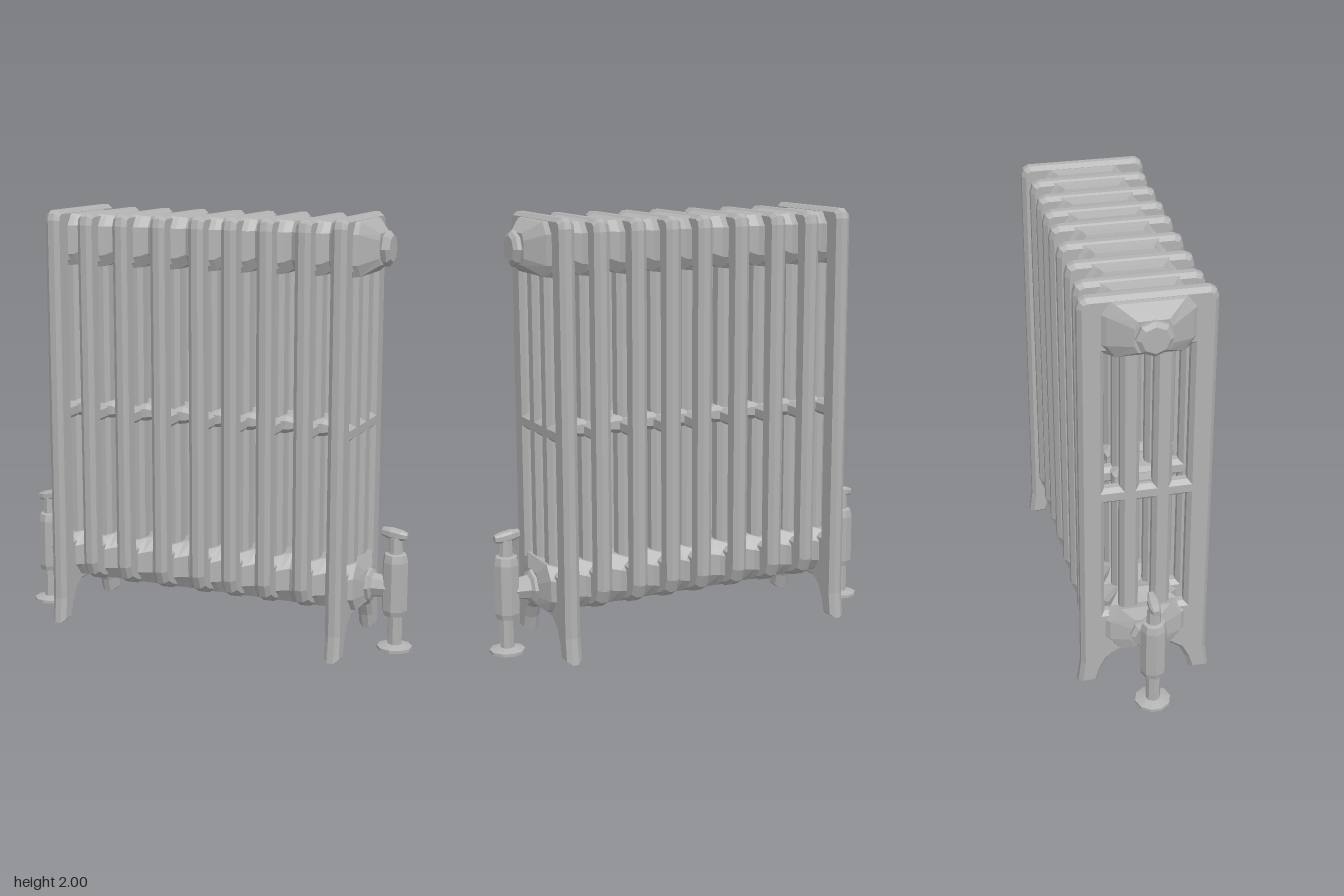
import * as THREE from 'three';

const iron = new THREE.MeshStandardMaterial({ color: 0xb2b2b2, flatShading: true });
iron.name = 'castIron';

const sectionX = [-0.7, -0.54, -0.36, -0.17, 0.02, 0.18, 0.35, 0.53, 0.7];

function part(parent, name, geometry, x = 0, y = 0, z = 0) {
  const mesh = new THREE.Mesh(geometry, iron);
  mesh.name = name;
  mesh.position.set(x, y, z);
  parent.add(mesh);
  return mesh;
}

// Chamfered-rectangle cross-sections joined along x; station = [x, halfWidth, bottom, top]
function loft(stations, chamferZ, chamferY) {
  const rings = stations.map(([x, w, y0, y1]) => {
    const a = w * (1 - chamferZ), c = (y1 - y0) * chamferY;
    return [[a, y1], [w, y1 - c], [w, y0 + c], [a, y0], [-a, y0], [-w, y0 + c], [-w, y1 - c], [-a, y1]]
      .map(([z, y]) => [x, y, z]);
  });
  const n = 8, pos = rings.flat(2), index = [];
  for (let i = 0; i < rings.length - 1; i++) {
    for (let j = 0; j < n; j++) {
      const a = i * n + j, b = i * n + (j + 1) % n;
      index.push(a, b, a + n, b, b + n, a + n);
    }
  }
  const last = (rings.length - 1) * n;
  for (let j = 1; j < n - 1; j++) {
    index.push(0, j + 1, j, last, last + j, last + j + 1);
  }
  const g = new THREE.BufferGeometry();
  g.setAttribute('position', new THREE.Float32BufferAttribute(pos, 3));
  g.setIndex(index);
  g.computeVertexNormals();
  return g;
}

// Stations swelling at every section and narrowing in the gaps
function scalloped(valley, shoulder, crest) {
  const out = [];
  sectionX.forEach((x, i) => {
    out.push([x - 0.055, ...shoulder], [x, ...crest], [x + 0.055, ...shoulder]);
    if (i < sectionX.length - 1) out.push([(x + sectionX[i + 1]) / 2, ...valley]);
  });
  return out;
}

// Upright section with slots between its four columns
function sectionGeometry(isEnd) {
  const half = isEnd
    ? [[0.12, 0.165], [0.17, 0.13], [0.2, 0.07], [0.22, 0], [0.31, 0], [0.295, 0.12],
      [0.295, 1.95], [0.285, 1.98], [0.26, 1.995]]
    : [[0.14, 0.2], [0.2, 0.22], [0.25, 0.25], [0.275, 0.31], [0.28, 1.93], [0.27, 1.97], [0.24, 1.985]];
  const outline = [...half, ...half.map(([z, y]) => [-z, y]).reverse()];
  const shape = new THREE.Shape(outline.map(([z, y]) => new THREE.Vector2(z, y)));
  for (const [z, w] of [[-0.15, 0.035], [0, 0.03], [0.15, 0.035]]) {
    for (const [y0, y1] of [[0.4, 0.995], [1.07, 1.74]]) {
      const hole = [[z - w, y0], [z - w, y1], [z + w, y1], [z + w, y0]];
      shape.holes.push(new THREE.Path(hole.map(([a, b]) => new THREE.Vector2(a, b))));
    }
  }
  const depth = 0.03, bevel = 0.021;
  const g = new THREE.ExtrudeGeometry(shape, {
    depth, bevelEnabled: true, bevelThickness: bevel, bevelSize: 0.018, bevelOffset: -0.018, bevelSegments: 1,
  });
  return g.translate(0, 0, -depth / 2).rotateY(Math.PI / 2);
}

// Turned part with few sides
function turned(points, sides) {
  return new THREE.LatheGeometry(points.map(([r, y]) => new THREE.Vector2(r, y)), sides);
}

// Plug, pipe connection and valve for the +x end
function endFittings() {
  const group = new THREE.Group();
  const plug = turned([[0, 0], [0.065, 0], [0.08, 0.012], [0.08, 0.03], [0.06, 0.045], [0, 0.045]], 8);
  part(group, 'topPlug', plug.rotateZ(-Math.PI / 2), 0.815, 1.85, 0);

  const union = turned([[0, 0], [0.08, 0], [0.08, 0.04], [0.058, 0.05], [0.052, 0.1], [0.045, 0.14], [0, 0.14]], 8);
  part(group, 'pipeUnion', union.rotateZ(-Math.PI / 2), 0.755, 0.295, 0);

  part(group, 'valveBody', turned([[0, 0.165], [0.053, 0.165], [0.06, 0.19], [0.06, 0.42], [0.052, 0.455],
    [0.034, 0.46], [0.03, 0.535], [0, 0.535]], 8), 0.905, 0, 0);
  part(group, 'supplyPipe', turned([[0.034, 0.015], [0.034, 0.17]], 8), 0.91, 0, 0);
  part(group, 'floorCollar', turned([[0, 0], [0.082, 0], [0.082, 0.014], [0.04, 0.026], [0, 0.026]], 10), 0.91, 0, 0);
  const handle = part(group, 'valveHandle', loft([[-0.06, 0.015, -0.015, 0.022], [-0.02, 0.025, -0.022, 0.026],
    [0.03, 0.025, -0.022, 0.022], [0.06, 0.015, -0.015, 0.015]], 0.35, 0.25), 0.9, 0.548, 0);
  handle.rotation.z = -0.1;
  return group;
}

export function createModel() {
  const model = new THREE.Group();
  model.name = 'radiator';

  // Upright sections; the two ends carry the feet
  const middle = sectionGeometry(false), end = sectionGeometry(true);
  sectionX.forEach((x, i) => {
    const isEnd = i === 0 || i === sectionX.length - 1;
    part(model, isEnd ? 'endSection' : 'middleSection', isEnd ? end : middle, x);
  });

  // Top header with tapered ends
  const top = scalloped([0.16, 1.755, 1.968], [0.18, 1.735, 1.972], [0.235, 1.73, 1.982]);
  part(model, 'topHeader', loft([[-0.82, 0.08, 1.78, 1.92], ...top, [0.82, 0.08, 1.78, 1.92]], 0.2, 0.22));

  // Bottom header
  const bottom = scalloped([0.145, 0.195, 0.435], [0.165, 0.2, 0.425], [0.22, 0.21, 0.41]);
  part(model, 'bottomHeader', loft([[-0.78, 0.075, 0.22, 0.37], ...bottom, [0.78, 0.075, 0.22, 0.37]], 0.3, 0.28));

  // Spacer rail halfway up
  const rail = scalloped([0.115, 1.01, 1.065], [0.125, 1, 1.08], [0.13, 0.995, 1.08]);
  part(model, 'middleRail', loft(rail.slice(1, -1), 0.2, 0.25));

  // Fittings at both ends
  const left = endFittings();
  left.name = 'leftFittings';
  const right = endFittings();
  right.name = 'rightFittings';
  right.rotation.y = Math.PI;
  model.add(left, right);
  return model;
}
